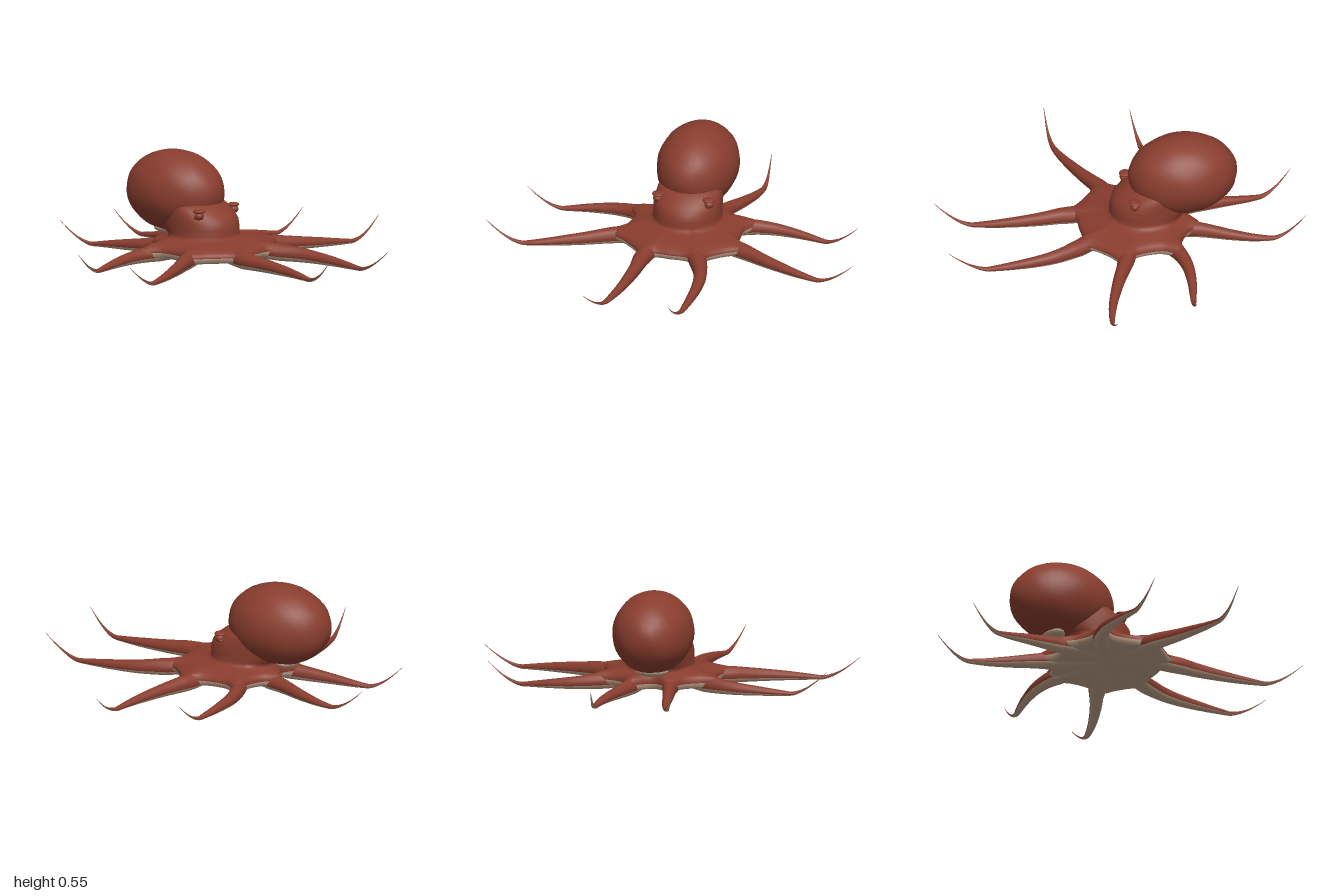
import * as THREE from 'three';

const red = new THREE.MeshStandardMaterial({ color: 0x893d2e });
red.name = 'red skin';
const cream = new THREE.MeshStandardMaterial({ color: 0xbd9f87 });
cream.name = 'cream underside';

// Smooth surface of closed rings; isCream(row, column) picks the underside colour
function ringSurface(name, rings, isCream = () => false) {
  const n = rings[0].length;
  const faces = [[], []];
  for (let i = 0; i < rings.length - 1; i++) {
    for (let j = 0; j < n; j++) {
      const k = (j + 1) % n;
      const a = i * n + j, b = i * n + k, c = a + n, d = b + n;
      faces[isCream(i, j) ? 1 : 0].push(a, b, c, b, d, c);
    }
  }
  const g = new THREE.BufferGeometry().setFromPoints(rings.flat());
  g.setIndex([...faces[0], ...faces[1]]);
  g.addGroup(0, faces[0].length, 0);
  g.addGroup(faces[0].length, faces[1].length, 1);
  g.computeVertexNormals();
  const mesh = new THREE.Mesh(g, [red, cream]);
  mesh.name = name;
  return mesh;
}

// Linear interpolation through [t, value] pairs
function ramp(pairs, t) {
  for (let i = 1; i < pairs.length; i++) {
    const [t0, v0] = pairs[i - 1], [t1, v1] = pairs[i];
    if (t <= t1) return v0 + (v1 - v0) * (t - t0) / (t1 - t0);
  }
  return pairs[pairs.length - 1][1];
}

const HALF_WIDTH = [[0, 0.03], [0.15, 0.05], [0.27, 0.047], [0.38, 0.036], [0.55, 0.028],
  [0.7, 0.021], [0.8, 0.014], [0.9, 0.006], [1, 0.001]];
const THICKNESS = [[0, 0.025], [0.15, 0.07], [0.25, 0.09], [0.32, 0.088], [0.4, 0.078],
  [0.6, 0.052], [0.8, 0.022], [0.9, 0.01], [1, 0.002]];

// Tapered arm along ground points [x, z], with the tip curling upwards
function arm(name, points) {
  const path = new THREE.CatmullRomCurve3(points.map(([x, z]) => new THREE.Vector3(x, 0, z)));
  const rows = 48, cols = 16, rings = [];
  for (let i = 0; i <= rows; i++) {
    const t = i / rows;
    const p = path.getPointAt(t), dir = path.getTangentAt(t);
    const w = ramp(HALF_WIDTH, t), h = ramp(THICKNESS, t) / 2;
    const lift = 0.03 * Math.max(0, 1 - t / 0.28);
    const curl = 0.125 * Math.pow(Math.max(0, (t - 0.79) / 0.21), 1.6);
    const ring = [];
    for (let j = 0; j < cols; j++) {
      const a = j / cols * Math.PI * 2, c = Math.cos(a) * w;
      ring.push(new THREE.Vector3(p.x + dir.z * c, 0.003 + lift + curl + h + Math.sin(a) * h, p.z - dir.x * c));
    }
    rings.push(ring);
  }
  return ringSurface(name, rings, (i, j) => j >= 9 && j <= 14);
}

// Head, neck and web as one skin, with the shallow hollow below
function headAndWeb() {
  const outline = new THREE.CatmullRomCurve3([
    [0.36, 0.045], [0.268, 0.12], [0.2, 0.19], [0.165, 0.27], [0.1, 0.222], [0, 0.22],
    [-0.085, 0.222], [-0.135, 0.27], [-0.19, 0.195], [-0.268, 0.12], [-0.36, 0.045],
    [-0.312, -0.03], [-0.3, -0.17], [-0.345, -0.265], [-0.24, -0.285], [-0.165, -0.33],
    [-0.1, -0.41], [0, -0.345], [0.12, -0.41], [0.165, -0.33], [0.24, -0.285],
    [0.345, -0.265], [0.3, -0.17], [0.312, -0.03],
  ].map(([x, z]) => new THREE.Vector3(x, 0, z)), true);
  const edge = [];
  for (let j = 0; j < 120; j++) edge.push(outline.getPoint(j / 120));
  const oval = (y, cz, rx, front, back) => edge.map(p => {
    const a = Math.atan2(p.z + 0.1, p.x), s = Math.sin(a);
    return new THREE.Vector3(Math.cos(a) * rx, y, cz + s * (s > 0 ? front : back));
  });
  // y, centre z, half width, front depth, back depth
  const rings = [
    [0.32, -0.24, 0, 0, 0], [0.315, -0.23, 0.12, 0.12, 0.12], [0.292, -0.2, 0.162, 0.145, 0.2],
    [0.27, -0.175, 0.17, 0.152, 0.23], [0.24, -0.15, 0.175, 0.166, 0.25],
    [0.21, -0.135, 0.178, 0.177, 0.26], [0.17, -0.13, 0.178, 0.181, 0.25],
    [0.14, -0.128, 0.178, 0.178, 0.22],
  ].map(r => oval(...r));
  const neck = oval(0.124, -0.128, 0.184, 0.183, 0.195);
  rings.push(neck);
  for (const [f, y] of [[0.15, 0.116], [0.4, 0.107], [0.7, 0.098], [0.9, 0.087], [0.98, 0.074], [1, 0.06]]) {
    rings.push(neck.map((p, j) => p.clone().lerp(edge[j], f).setY(y)));
  }
  const lip = rings.length - 1;
  for (const [f, y] of [[0.985, 0.042], [0.94, 0.03], [0.8, 0.026], [0.5, 0.032], [0.25, 0.039], [0, 0.042]]) {
    rings.push(edge.map(p => new THREE.Vector3(p.x * f, y, -0.07 + (p.z + 0.07) * f)));
  }
  return ringSurface('headAndWeb', rings, i => i >= lip);
}

// Egg-shaped mantle with slight unevenness
function mantle() {
  const rings = [];
  for (let i = 0; i <= 24; i++) {
    const v = i / 24 * Math.PI, ring = [];
    for (let j = 0; j < 36; j++) {
      const u = j / 36 * Math.PI * 2;
      const x = Math.sin(v) * Math.cos(u), y = Math.cos(v), z = Math.sin(v) * Math.sin(u);
      const s = 1 + 0.012 * Math.sin(7 * x + 2) * Math.sin(6 * y + 1) * Math.cos(7 * z);
      ring.push(new THREE.Vector3(x * 0.212 * s, 0.335 + y * 0.215 * s, -0.335 + z * 0.287 * s));
    }
    rings.push(ring);
  }
  return ringSurface('mantle', rings);
}

function ellipsoid(name, material, pos, scale) {
  const m = new THREE.Mesh(new THREE.SphereGeometry(1, 20, 14), material);
  m.name = name;
  m.position.set(...pos);
  m.scale.set(...scale);
  return m;
}

// Eyeball between two heavy lids, looking forward and outward
function eye(side) {
  const g = new THREE.Group();
  g.name = side > 0 ? 'leftEye' : 'rightEye';
  g.add(ellipsoid('eyeball', red, [0, -0.006, 0.002], [0.025, 0.021, 0.025]));
  g.add(ellipsoid('upperLid', red, [0, 0.018, 0], [0.033, 0.011, 0.031]));
  g.add(ellipsoid('lowerLid', red, [0, -0.017, -0.006], [0.027, 0.012, 0.027]));
  g.position.set(side * 0.138, 0.255, -0.054);
  g.rotation.y = side * 0.7;
  return g;
}

export function createModel() {
  const model = new THREE.Group();
  model.name = 'octopus';
  model.add(headAndWeb(), mantle(), eye(1), eye(-1));
  model.add(ellipsoid('mantleUnderside', cream, [0, 0.14, -0.385], [0.09, 0.034, 0.06]));

  // Side arms, mirrored
  for (const s of [1, -1]) {
    const flip = pts => pts.map(([x, z]) => [s * x, z]);
    const side = s > 0 ? 'left' : 'right';
    model.add(arm(side + 'SideFrontArm', flip([[0.05, -0.04], [0.2, -0.01], [0.34, 0.035],
      [0.5, 0.105], [0.7, 0.175], [0.85, 0.205], [1, 0.208]])));
    model.add(arm(side + 'SideBackArm', flip([[0.05, -0.08], [0.18, -0.18], [0.3, -0.25],
      [0.42, -0.278], [0.56, -0.275], [0.72, -0.252], [0.9, -0.23]])));
  }
  // Front and back arms, each with its own bend
  model.add(arm('leftFrontArm', [[0.03, 0], [0.1, 0.12], [0.17, 0.25], [0.215, 0.38],
    [0.23, 0.52], [0.225, 0.7], [0.21, 0.85], [0.208, 0.95]]));
  model.add(arm('rightFrontArm', [[-0.03, 0], [-0.1, 0.12], [-0.133, 0.25], [-0.137, 0.4],
    [-0.158, 0.6], [-0.2, 0.78], [-0.26, 0.94]]));
  model.add(arm('leftBackArm', [[0.03, -0.1], [0.08, -0.25], [0.13, -0.42], [0.185, -0.56],
    [0.22, -0.68], [0.232, -0.8], [0.222, -0.95]]));
  model.add(arm('rightBackArm', [[-0.03, -0.1], [-0.08, -0.25], [-0.1, -0.42], [-0.12, -0.58],
    [-0.137, -0.72], [-0.165, -0.83], [-0.21, -0.95]]));
  return model;
}
